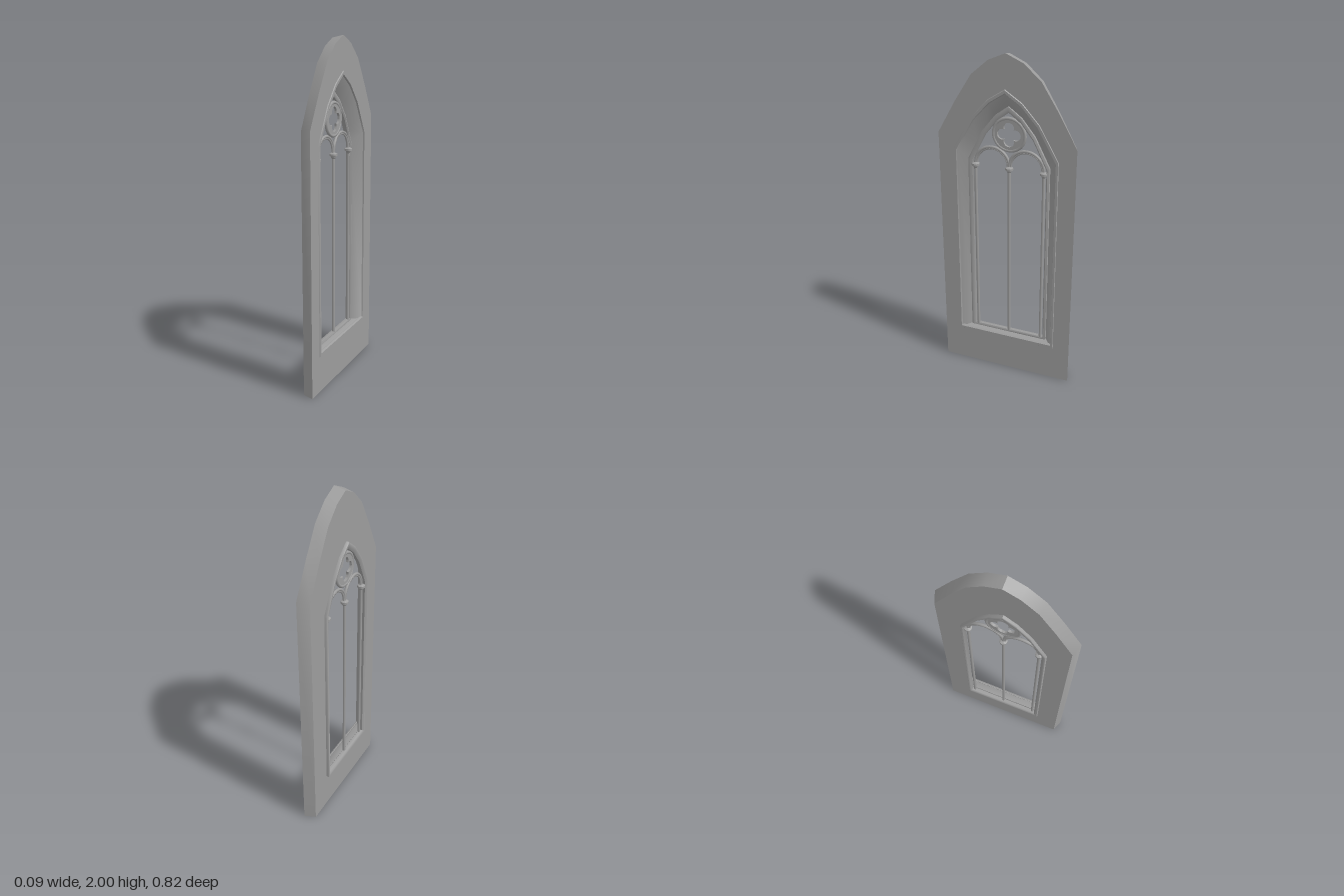
import * as THREE from 'three';
import { toCreasedNormals } from 'three/addons/utils/BufferGeometryUtils.js';

const stone = new THREE.MeshStandardMaterial({ color: 0x9c9c9c });

// Pointed arch half-profiles: [fraction of half width, fraction of rise]
const WALL = [[1, 0], [0.735, 0.4], [0.49, 0.73], [0.244, 0.91], [0, 1]];
const OPENING = [[1, 0], [0.82, 0.265], [0.64, 0.53], [0.32, 0.825], [0, 1]];

// One arched outline in the YZ plane at depth x
function ring([x, half, bottom, spring, apex, zc = 0], arch = OPENING) {
  const side = arch.map(([u, v]) => [u * half, spring + v * (apex - spring)]);
  const pts = [[half, bottom], ...side, ...side.slice(0, -1).reverse().map(([z, y]) => [-z, y]), [-half, bottom]];
  return pts.map(([z, y]) => [x, y, z + zc]);
}

// Skin a series of outlines, running outer front, outer back, inner back, inner front
function loft(name, rings, crease, closed = true) {
  const pos = [];
  rings.slice(0, closed ? rings.length : -1).forEach((a, i) => {
    const b = rings[(i + 1) % rings.length];
    a.forEach((p, k) => {
      const n = (k + 1) % a.length;
      pos.push(...p, ...b[n], ...b[k], ...p, ...a[n], ...b[n]);
    });
  });
  const g = new THREE.BufferGeometry();
  g.setAttribute('position', new THREE.Float32BufferAttribute(pos, 3));
  g.computeVertexNormals();
  const m = new THREE.Mesh(toCreasedNormals(g, THREE.MathUtils.degToRad(crease)), stone);
  m.name = name;
  return m;
}

function add(parent, name, geo, x, y) {
  const m = new THREE.Mesh(geo, stone);
  m.name = name;
  m.position.set(x, y, 0);
  parent.add(m);
}

// Columns, lancet arches and quatrefoil, drawn in XY and turned to face +x
function makeTracery() {
  const t = new THREE.Group();
  t.name = 'tracery';
  const springY = 1.345, sill = 0.235, pitch = 0.208;

  const capital = [[0.009, -0.024], [0.013, -0.02], [0.015, -0.012], [0.023, -0.008], [0.023, 0.004], [0.016, 0.008], [0.009, 0.012]]
    .map(([r, y]) => new THREE.Vector2(r, y));
  for (const x of [-pitch, 0, pitch]) {
    const h = springY - sill;
    add(t, 'column', new THREE.CylinderGeometry(0.009, 0.009, h, 12), x, sill + h / 2);
    add(t, 'capital', toCreasedNormals(new THREE.LatheGeometry(capital, 16), 0.6), x, springY - 0.012);
  }
  for (const s of [-1, 1]) {
    add(t, 'lancetArch', new THREE.TorusGeometry(pitch / 2, 0.009, 8, 20, Math.PI), s * pitch / 2, springY);
    add(t, 'lancetArchRim', new THREE.TorusGeometry(pitch / 2 - 0.01, 0.006, 6, 20, Math.PI), s * pitch / 2, springY);
  }

  // Quatrefoil plate inside a round rib
  const cy = 1.535, d = 0.04, r = 0.031, sweep = 1.935;
  const plate = new THREE.Shape().absarc(0, 0, 0.095, 0, Math.PI * 2);
  const foil = new THREE.Path();
  for (let i = 0; i < 4; i++) {
    const a = i * Math.PI / 2;
    foil.absarc(d * Math.cos(a), d * Math.sin(a), r, a - sweep, a + sweep, false);
  }
  plate.holes.push(foil);
  const plateGeo = new THREE.ExtrudeGeometry(plate, { depth: 0.014, bevelEnabled: false, curveSegments: 16 });
  plateGeo.translate(0, 0, -0.007);
  add(t, 'quatrefoil', toCreasedNormals(plateGeo, 0.6), 0, cy);
  add(t, 'roundRib', new THREE.TorusGeometry(0.094, 0.01, 8, 32), 0, cy);

  t.rotation.y = Math.PI / 2;
  t.position.set(-0.021, 0, 0.003);
  return t;
}

export function createModel() {
  const g = new THREE.Group();
  g.name = 'gothicWindow';

  // Wall slab with tapered edges, open where the reveal fits in
  g.add(loft('wall', [
    ring([0.04, 0.297, 0.23, 1.425, 1.785, 0.004]),
    ring([0.04, 0.41, 0, 1.52, 2], WALL),
    ring([-0.027, 0.385, 0, 1.51, 1.985], WALL),
    ring([-0.027, 0.244, 0.23, 1.37, 1.69, 0.005]),
  ], 40, false));

  // Splayed reveal, softly blended into its front lip
  g.add(loft('reveal', [
    ring([-0.027, 0.244, 0.23, 1.37, 1.69, 0.005]),
    ring([0.036, 0.292, 0.23, 1.424, 1.778, 0.004]),
    ring([0.04, 0.305, 0.224, 1.43, 1.795, 0.004]),
  ], 60, false));

  // Shallow moulding around the front of the opening
  g.add(loft('frontMoulding', [
    ring([0.045, 0.311, 0.221, 1.434, 1.804, 0.004]),
    ring([0.036, 0.315, 0.214, 1.436, 1.811, 0.004]),
    ring([0.03, 0.29, 0.242, 1.423, 1.775, 0.004]),
    ring([0.036, 0.294, 0.242, 1.425, 1.78, 0.004]),
    ring([0.045, 0.298, 0.236, 1.427, 1.787, 0.004]),
  ], 30));

  // Rounded frame projecting from the back and holding the tracery
  g.add(loft('backFrame', [
    ring([-0.014, 0.247, 0.222, 1.363, 1.697, 0.007]),
    ring([-0.04, 0.249, 0.22, 1.365, 1.7, 0.007]),
    ring([-0.045, 0.245, 0.224, 1.363, 1.695, 0.007]),
    ring([-0.045, 0.234, 0.236, 1.36, 1.677, 0.006]),
    ring([-0.036, 0.225, 0.245, 1.356, 1.662, 0.004]),
    ring([-0.016, 0.225, 0.245, 1.356, 1.662, 0.004]),
    ring([-0.01, 0.234, 0.236, 1.36, 1.677, 0.006]),
  ], 50));

  g.add(makeTracery());
  return g;
}
